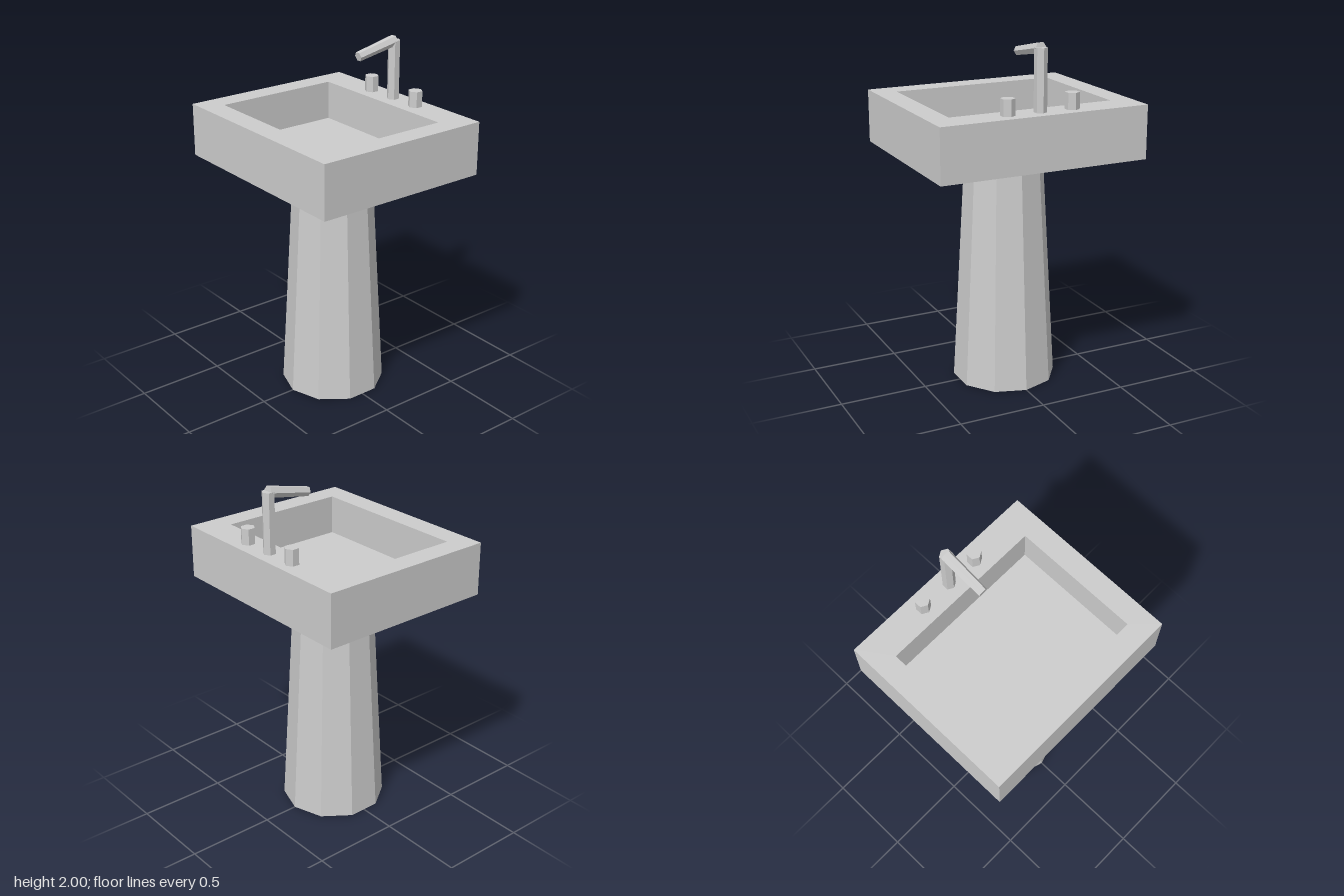
import * as THREE from 'three';

const ceramic = new THREE.MeshStandardMaterial({ color: 0xcccccc, flatShading: true });
ceramic.name = 'pale grey ceramic';

function addPart(group, name, geometry, x = 0, y = 0, z = 0) {
  const mesh = new THREE.Mesh(geometry, ceramic);
  mesh.name = name;
  mesh.position.set(x, y, z);
  group.add(mesh);
  return mesh;
}

// Hollow basin: rectangular rings lofted up the outside, over the rim and down inside
function basinGeometry() {
  const ring = (y, x, back, front) => [[-x, y, front], [x, y, front], [x, y, back], [-x, y, back]];
  const rings = [
    ring(1.34, 0.6, -0.517, 0.517),
    ring(1.64, 0.6, -0.517, 0.517),
    ring(1.64, 0.475, -0.338, 0.39),
    ring(1.417, 0.475, -0.338, 0.39),
  ];
  const points = [];
  const quad = (a, b, c, d) => points.push(...a, ...b, ...c, ...a, ...c, ...d);
  for (let i = 0; i < rings.length - 1; i++) {
    for (let j = 0; j < 4; j++) {
      const k = (j + 1) % 4;
      quad(rings[i][j], rings[i][k], rings[i + 1][k], rings[i + 1][j]);
    }
  }
  quad(...rings[3]); // basin floor
  quad(...[...rings[0]].reverse()); // underside
  const geometry = new THREE.BufferGeometry();
  geometry.setAttribute('position', new THREE.Float32BufferAttribute(points, 3));
  geometry.computeVertexNormals();
  return geometry;
}

export function createModel() {
  const model = new THREE.Group();
  model.name = 'pedestalSink';

  // Tapered ten-sided pedestal, stopping just short of the basin
  addPart(model, 'pedestal', new THREE.CylinderGeometry(0.222, 0.295, 1.3, 10), 0, 0.65, 0);
  addPart(model, 'basin', basinGeometry());

  // Tap handles
  for (const side of [-1, 1]) {
    addPart(model, side > 0 ? 'leftHandle' : 'rightHandle',
      new THREE.CylinderGeometry(0.04, 0.04, 0.09, 6), side * 0.187, 1.685, -0.43);
  }

  // Faucet: upright column and a tapered spout sloping forward
  addPart(model, 'faucetColumn', new THREE.CylinderGeometry(0.035, 0.035, 0.335, 6), 0, 1.8075, -0.43);
  const back = new THREE.Vector3(0, 1.973, -0.432);
  const tip = new THREE.Vector3(0, 1.921, -0.175);
  const spoutGeometry = new THREE.CylinderGeometry(0.027, 0.032, back.distanceTo(tip), 6);
  spoutGeometry.rotateY(Math.PI / 2); // flat side up
  spoutGeometry.rotateX(Math.PI / 2); // point along +z
  const spout = addPart(model, 'faucetSpout', spoutGeometry);
  spout.position.addVectors(back, tip).multiplyScalar(0.5);
  spout.rotation.x = Math.atan2(back.y - tip.y, tip.z - back.z);

  return model;
}
